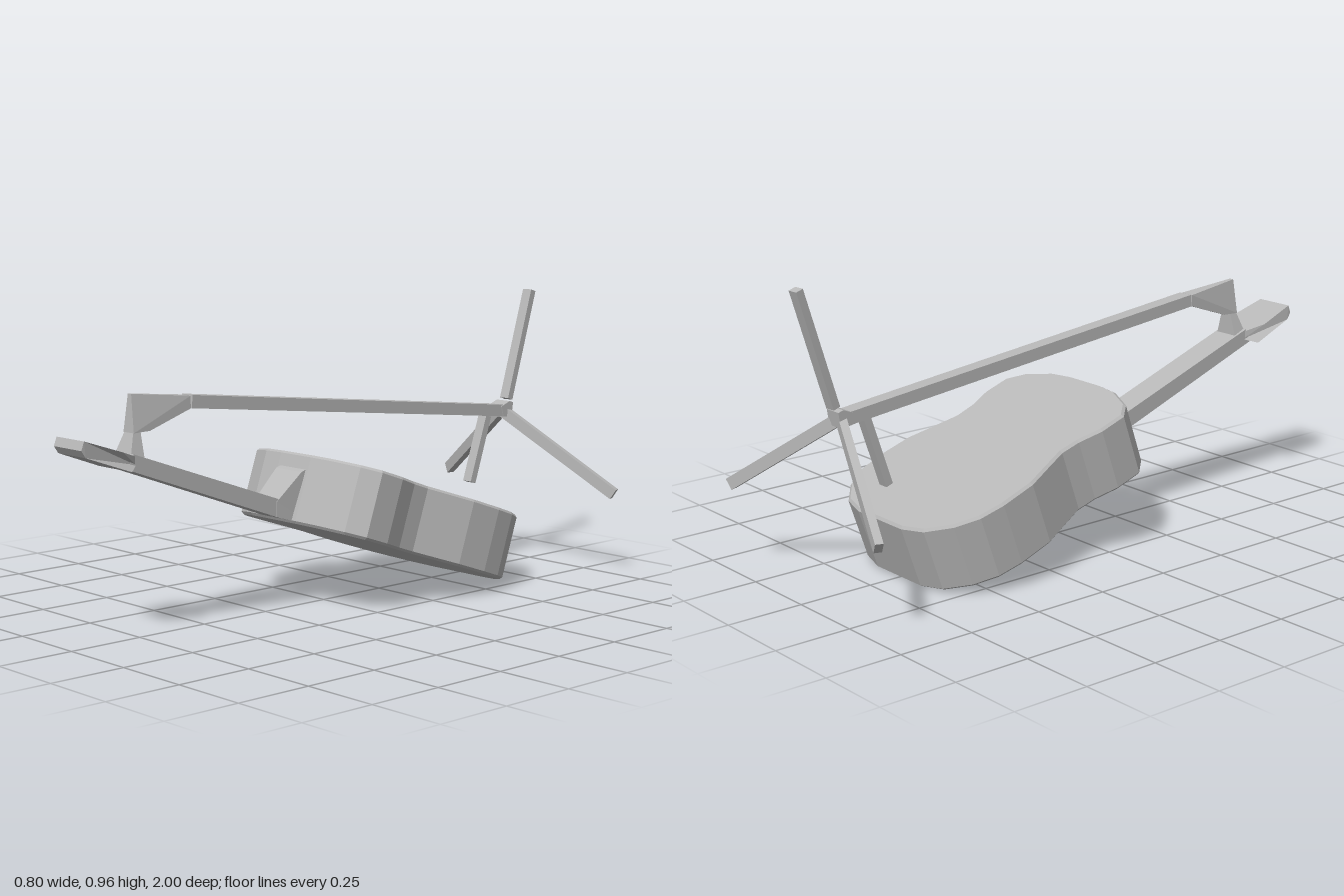
import * as THREE from 'three';

const grey = new THREE.MeshStandardMaterial({ color: 0xb8b8b8, flatShading: true });
grey.name = 'plain grey';

function add(group, name, geometry) {
  const mesh = new THREE.Mesh(geometry, grey);
  mesh.name = name;
  group.add(mesh);
  return mesh;
}

// Side profile of [z, y] points, spread across x; halfWidth(z, y) tapers it.
function slab(points, halfWidth) {
  const shape = new THREE.Shape(points.map(([z, y]) => new THREE.Vector2(z, y)));
  const g = new THREE.ExtrudeGeometry(shape, { depth: 2, bevelEnabled: false });
  g.rotateY(-Math.PI / 2).translate(1, 0, 0);
  const p = g.attributes.position;
  for (let i = 0; i < p.count; i++) p.setX(i, p.getX(i) * halfWidth(p.getZ(i), p.getY(i)));
  g.computeVertexNormals();
  return g;
}

// Square bar between two points.
function bar(group, name, from, to, width, height) {
  const a = new THREE.Vector3(...from), b = new THREE.Vector3(...to);
  const mesh = add(group, name, new THREE.BoxGeometry(width, height, a.distanceTo(b)));
  mesh.position.copy(a).add(b).multiplyScalar(0.5);
  mesh.lookAt(b);
}

export function createModel() {
  const model = new THREE.Group();
  model.name = 'guitar on stand';

  // Sound box: waisted outline (distance along the body, half width), tilted
  const half = [
    [0.008, 0.11], [0.03, 0.19], [0.09, 0.26], [0.16, 0.3], [0.24, 0.312], [0.36, 0.308],
    [0.45, 0.28], [0.53, 0.256], [0.6, 0.26], [0.68, 0.283], [0.77, 0.283],
    [0.82, 0.24], [0.86, 0.15], [0.87, 0.07],
  ];
  const outline = [
    ...half.map(([u, w]) => new THREE.Vector2(w, u)),
    ...half.slice().reverse().map(([u, w]) => new THREE.Vector2(-w, u)),
  ];
  const bodyGeometry = new THREE.ExtrudeGeometry(new THREE.Shape(outline), {
    depth: 0.206, bevelThickness: 0.008, bevelSize: 0.008, bevelSegments: 1,
  });
  bodyGeometry.translate(0, 0, 0.008);
  const along = new THREE.Vector3(0, 0.327, 0.945);
  const down = new THREE.Vector3(0, -0.945, 0.327);
  bodyGeometry.applyMatrix4(
    new THREE.Matrix4().makeBasis(new THREE.Vector3(1, 0, 0), along, down).setPosition(0, 0.21, -0.713));
  add(model, 'body', bodyGeometry);

  // Heel, neck and headstock
  add(model, 'heel', slab(
    [[0.08, 0.26], [0.245, 0.312], [0.245, 0.36], [0.15, 0.445], [0.06, 0.475]],
    (z) => (z > 0.2 ? 0.05 : 0.06)));
  add(model, 'neck', slab(
    [[0.22, 0.303], [0.82, 0.523], [0.8, 0.568], [0.22, 0.362]], () => 0.049));
  add(model, 'headstock', slab(
    [[0.79, 0.535], [0.83, 0.522], [0.985, 0.578], [1, 0.6], [0.99, 0.627], [0.86, 0.583], [0.79, 0.56]],
    (z) => (z < 0.82 ? 0.046 : z < 0.9 ? 0.08 : 0.067)));

  // Hook that holds the neck
  add(model, 'hookTop', slab(
    [[0.78, 0.625], [0.775, 0.74], [0.565, 0.718], [0.565, 0.68], [0.72, 0.627]],
    (z, y) => (y > 0.73 ? 0.008 : 0.025)));
  add(model, 'hookStem', slab(
    [[0.81, 0.54], [0.778, 0.63], [0.752, 0.63], [0.755, 0.54]],
    (z, y) => (y > 0.6 ? 0.02 : 0.045)));

  // Stand: long rod, hub and legs
  bar(model, 'rod', [0, 0.7, 0.56], [0, 0.547, -0.84], 0.052, 0.04);
  add(model, 'hub', slab(
    [[-0.82, 0.53], [-0.81, 0.565], [-0.85, 0.58], [-0.868, 0.575], [-0.86, 0.525]], () => 0.03));
  bar(model, 'upperLeg', [0, 0.585, -0.865], [-0.007, 0.956, -0.985], 0.036, 0.025);
  bar(model, 'innerLeg', [0, 0.535, -0.757], [0, 0.312, -0.682], 0.036, 0.025);
  for (const side of [-1, 1])
    bar(model, 'sideLeg', [side * 0.012, 0.54, -0.845], [side * 0.388, 0.282, -0.988], 0.025, 0.038);

  return model;
}
